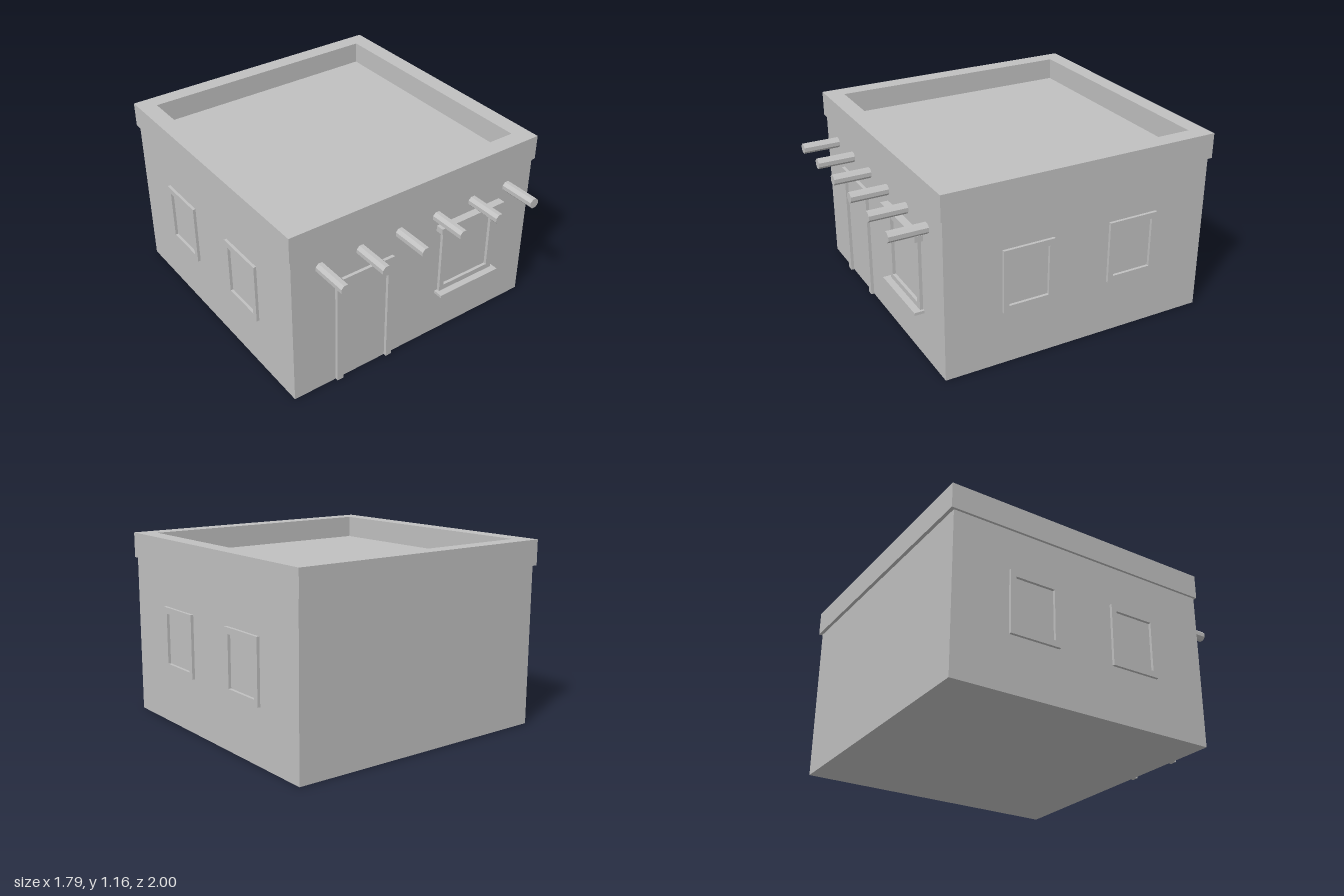
import * as THREE from 'three';

const plaster = new THREE.MeshStandardMaterial({ color: 0xc0c0c0 });
plaster.name = 'plaster';

const WALL_X = 0.875, WALL_FRONT = 0.765, WALL_BACK = -0.98;

function add(parent, name, geometry) {
  const mesh = new THREE.Mesh(geometry, plaster);
  mesh.name = name;
  parent.add(mesh);
  return mesh;
}

// Box given by its extents on each axis
function block(parent, name, [x0, x1], [y0, y1], [z0, z1]) {
  const mesh = add(parent, name, new THREE.BoxGeometry(x1 - x0, y1 - y0, z1 - z0));
  mesh.position.set((x0 + x1) / 2, (y0 + y1) / 2, (z0 + z1) / 2);
  return mesh;
}

function rectangle(PathType, [x0, x1], [y0, y1]) {
  return new PathType([[x0, y0], [x1, y0], [x1, y1], [x0, y1]].map(p => new THREE.Vector2(...p)));
}

// Rectangular ring extruded along +z
function ring(outerX, outerY, innerX, innerY, depth) {
  const shape = rectangle(THREE.Shape, outerX, outerY);
  shape.holes.push(rectangle(THREE.Path, innerX, innerY));
  return new THREE.ExtrudeGeometry(shape, { depth, bevelEnabled: false });
}

export function createModel() {
  const model = new THREE.Group();
  model.name = 'adobeHouse';

  // Main walls and sunken roof deck
  block(model, 'walls', [-WALL_X, WALL_X], [0, 1.0], [WALL_BACK, WALL_FRONT]);
  block(model, 'roofDeck', [-0.8, 0.8], [0.99, 1.02], [-0.91, 0.68]);

  // Parapet: shape y becomes -z when laid flat
  const parapet = ring([-0.888, 0.888], [-0.778, 1.0], [-0.78, 0.78], [-0.667, 0.895], 0.158);
  parapet.rotateX(-Math.PI / 2).translate(0, 1.002, 0);
  add(model, 'parapet', parapet);

  // Projecting roof beams
  const beams = new THREE.Group();
  beams.name = 'roofBeams';
  model.add(beams);
  const beam = new THREE.CylinderGeometry(0.033, 0.033, 0.26, 8).toNonIndexed();
  beam.rotateY(Math.PI / 8).rotateX(Math.PI / 2);
  beam.computeVertexNormals();
  for (let i = 0; i < 6; i++) {
    add(beams, 'roofBeam', beam).position.set(-0.685 + i * 0.273, 0.878, 0.87);
  }

  // Door surround
  const door = new THREE.Group();
  door.name = 'doorFrame';
  model.add(door);
  const doorDepth = [WALL_FRONT - 0.005, 0.785];
  block(door, 'leftJamb', [-0.228, -0.186], [0, 0.703], doorDepth);
  block(door, 'rightJamb', [-0.588, -0.545], [0, 0.703], doorDepth);
  block(door, 'doorHead', [-0.588, -0.186], [0.703, 0.742], doorDepth);

  // Front window with lintel and sill
  const front = new THREE.Group();
  front.name = 'frontWindow';
  model.add(front);
  add(front, 'windowFrame', ring([0.173, 0.595], [0.312, 0.772], [0.205, 0.555], [0.35, 0.733], 0.025))
    .position.z = WALL_FRONT - 0.005;
  block(front, 'lintel', [0.138, 0.627], [0.77, 0.808], [WALL_FRONT - 0.005, 0.815]);
  block(front, 'sill', [0.152, 0.612], [0.298, 0.316], [WALL_FRONT - 0.005, 0.828]);

  // Two window frames on each side wall
  const sideFrame = ring([-0.164, 0.164], [0.346, 0.74], [-0.129, 0.129], [0.384, 0.701], 0.023);
  for (const side of [1, -1]) {
    for (const z of [0.242, -0.458]) {
      const frame = add(model, side > 0 ? 'leftWindowFrame' : 'rightWindowFrame', sideFrame);
      frame.rotation.y = side * Math.PI / 2;
      frame.position.set(side * (WALL_X - 0.005), 0, z);
    }
  }
  return model;
}
